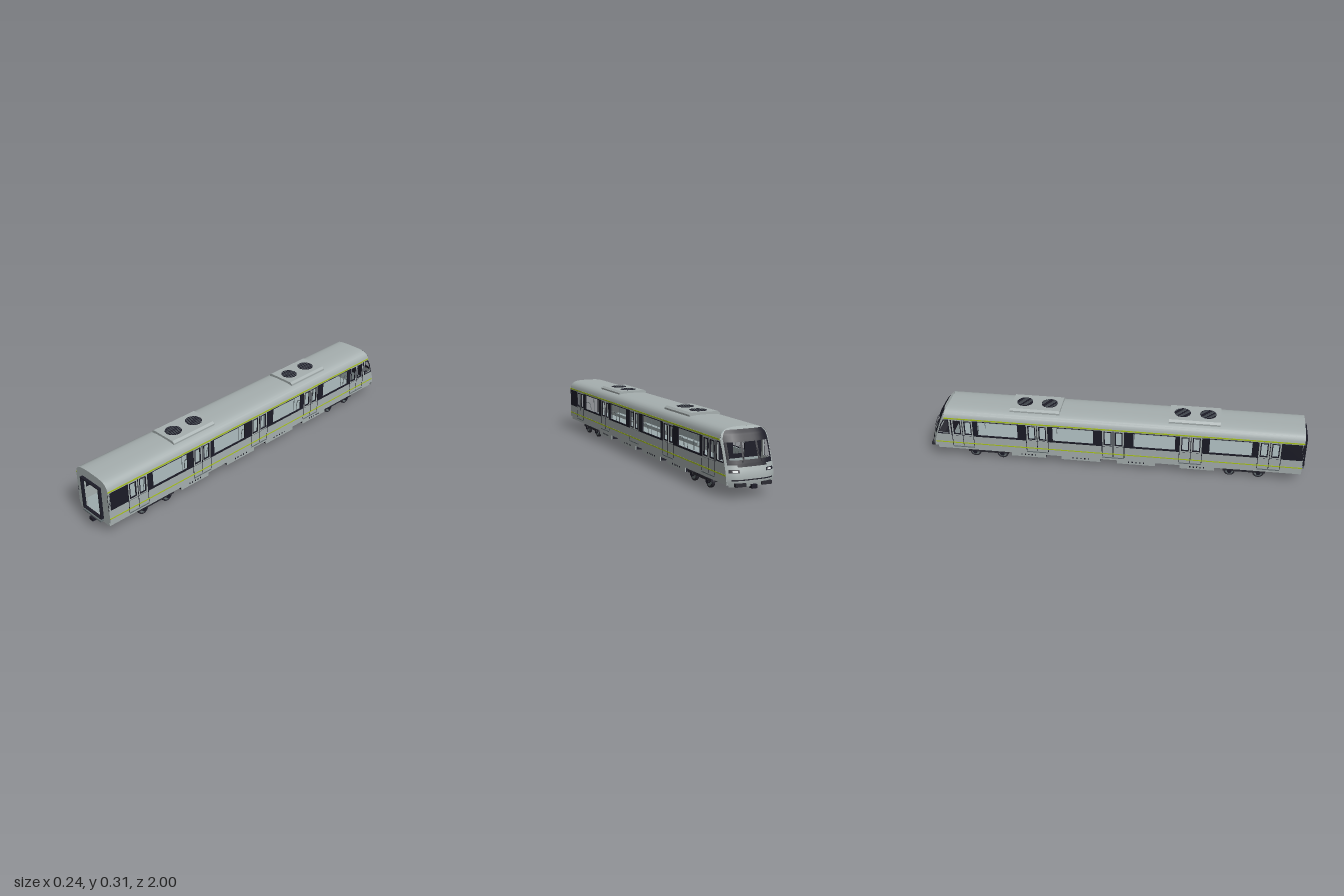
import * as THREE from 'three';

const mat = (name, color) => {
  const m = new THREE.MeshStandardMaterial({ color, side: THREE.DoubleSide });
  m.name = name;
  return m;
};
const body = mat('body grey', 0xa6afaf), dark = mat('dark trim', 0x1c1c27), green = mat('green stripe', 0xa9c41c);
const inner = mat('interior grey', 0x9dabad), metal = mat('metal', 0x667073), under = mat('underframe', 0x2a2a32);
const lamp = mat('lamp white', 0xe4e8e8);

// Piecewise linear lookup through [input, output] pairs
const lerpTable = (table, v) => {
  if (v <= table[0][0]) return table[0][1];
  for (let i = 1; i < table.length; i++) {
    const [a, b] = table[i - 1], [c, d] = table[i];
    if (v <= c) return b + (d - b) * (v - a) / (c - a);
  }
  return table[table.length - 1][1];
};
const noseZ = [[0.05, -0.985], [0.08, -0.992], [0.11, -0.988], [0.15, -0.975], [0.2, -0.957], [0.24, -0.941], [0.27, -0.925], [0.288, -0.908], [0.298, -0.888]];
const halfTable = [[0.05, 0.108], [0.08, 0.12], [0.25, 0.12], [0.262, 0.117], [0.273, 0.112], [0.283, 0.103], [0.29, 0.09], [0.294, 0.075], [0.297, 0.05], [0.298, 0.02]];
const half = y => lerpTable(halfTable, y);
const frontZ = (x, y) => lerpTable(noseZ, y) + 0.03 * (Math.abs(x) / 0.12) ** 4;

// Surface from a rule over a grid
function surface(nu, nv, fn) {
  const pos = [], idx = [];
  for (let j = 0; j <= nv; j++) for (let i = 0; i <= nu; i++) pos.push(...fn(i / nu, j / nv));
  for (let j = 0; j < nv; j++) for (let i = 0; i < nu; i++) {
    const a = j * (nu + 1) + i, b = a + nu + 1;
    idx.push(a, b, a + 1, a + 1, b, b + 1);
  }
  const g = new THREE.BufferGeometry();
  g.setAttribute('position', new THREE.Float32BufferAttribute(pos, 3));
  g.setIndex(idx);
  g.computeVertexNormals();
  return g;
}

const rectPath = (Type, x0, x1, y0, y1) => {
  const s = new Type();
  s.moveTo(x0, y0); s.lineTo(x1, y0); s.lineTo(x1, y1); s.lineTo(x0, y1); s.closePath();
  return s;
};
const plate = (x0, x1, y0, y1, holes = []) => {
  const s = rectPath(THREE.Shape, x0, x1, y0, y1);
  holes.forEach(h => s.holes.push(rectPath(THREE.Path, ...h)));
  return s;
};
const extrude = (shape, depth) => new THREE.ExtrudeGeometry(shape, { depth, bevelEnabled: false });

export function createModel() {
  const root = new THREE.Group();
  const add = (name, geo, m, x = 0, y = 0, z = 0, parent = root) => {
    const mesh = new THREE.Mesh(geo, m);
    mesh.name = name;
    mesh.position.set(x, y, z);
    parent.add(mesh);
    return mesh;
  };
  const box = (name, m, x0, x1, y0, y1, z0, z1) =>
    add(name, new THREE.BoxGeometry(x1 - x0, y1 - y0, z1 - z0), m, (x0 + x1) / 2, (y0 + y1) / 2, (z0 + z1) / 2);
  const rod = (name, m, r, len, x, y, z, axis = 'y', sides = 8) => {
    const g = new THREE.CylinderGeometry(r, r, len, sides);
    if (axis === 'x') g.rotateZ(Math.PI / 2);
    if (axis === 'z') g.rotateX(Math.PI / 2);
    return add(name, g, m, x, y, z);
  };

  const END = 0.975;
  const doors = [0.805, 0.403, 0, -0.403, -0.805];
  const windows = [0.607, 0.214, -0.212, -0.615];
  const D = 0.058;

  // Wall panel drawn in (z, y), standing on side s
  const wall = (name, shape, m, s, out = 0.12, depth = 0.006) => {
    const mesh = add(name, extrude(shape, depth), m, s > 0 ? out : -out + depth);
    mesh.rotation.y = -Math.PI / 2;
  };
  // Wall strip whose cab end follows the nose
  const cabStrip = (z0, y0, y1) => {
    const s = new THREE.Shape();
    s.moveTo(z0, y0);
    s.lineTo(z0, y1);
    for (let i = 0; i <= 5; i++) {
      const y = y1 + (y0 - y1) * i / 5;
      s.lineTo(frontZ(0.12, y), y);
    }
    s.closePath();
    return s;
  };
  // Slanted cab side window outline
  const cabWindow = (Type, e) => {
    const s = new Type();
    s.moveTo(-0.882 + e, 0.157 - e); s.lineTo(-0.936 - e, 0.157 - e);
    s.lineTo(-0.917 - e, 0.21); s.lineTo(-0.899 - e, 0.236 + e); s.lineTo(-0.882 + e, 0.236 + e);
    s.closePath();
    return s;
  };

  for (const s of [1, -1]) {
    wall('lowerWall', cabStrip(END, 0.075, 0.145), body, s);
    wall('upperWall', cabStrip(END, 0.241, 0.25), body, s);
    const holes = [
      ...windows.map(z => [z - 0.108, z + 0.108, 0.153, 0.237]),
      ...doors.map(z => [z - D, z + D, 0.1451, 0.2409])
    ];
    wall('windowBand', plate(-0.868, END, 0.145, 0.241, holes), dark, s);
    // Cab side with framed window
    const cab = cabStrip(-0.868, 0.145, 0.241);
    cab.holes.push(cabWindow(THREE.Path, 0));
    wall('cabSide', cab, body, s);
    const trim = cabWindow(THREE.Shape, 0.005);
    trim.holes.push(cabWindow(THREE.Path, 0));
    wall('cabWindowFrame', trim, dark, s, 0.1215, 0.003);
    // Sliding doors: two leaves with dark framed windows
    for (const z of doors) for (const k of [-1, 1]) {
      const c = z + k * D / 2;
      wall('doorLeaf', plate(c - 0.028, c + 0.028, 0.145, 0.241, [[c - 0.02, c + 0.02, 0.152, 0.236]]), body, s, 0.1185, 0.004);
      wall('doorWindowFrame', plate(c - 0.02, c + 0.02, 0.152, 0.236, [[c - 0.015, c + 0.015, 0.157, 0.231]]), dark, s, 0.1192, 0.005);
    }
    const thin = (name, m, y0, y1, z0, z1, out) => box(name, m, s > 0 ? 0.1195 : -out, s > 0 ? out : -0.1195, y0, y1, z0, z1);
    for (const z of doors) {
      for (const dz of [-D, 0, D]) thin('doorGap', dark, 0.082, 0.241, z + dz - 0.0015, z + dz + 0.0015, 0.1207);
      thin('doorSill', metal, 0.074, 0.079, z - D, z + D, 0.122);
    }
    thin('upperStripe', green, 0.245, 0.252, -0.9, END, 0.1212);
    thin('lowerStripe', green, 0.097, 0.103, -0.955, END, 0.1212);
    // Benches, poles and hand rails
    for (const z of windows) {
      box('bench', inner, s > 0 ? 0.08 : -0.113, s > 0 ? 0.113 : -0.08, 0.1, 0.114, z - 0.12, z + 0.12);
      box('benchBack', inner, s > 0 ? 0.106 : -0.113, s > 0 ? 0.113 : -0.106, 0.114, 0.15, z - 0.12, z + 0.12);
      for (const dz of [-0.122, 0.122]) {
        const c = new THREE.CatmullRomCurve3([[0.11, 0.19], [0.09, 0.188], [0.08, 0.16], [0.078, 0.1]].map(p => new THREE.Vector3(s * p[0], p[1], z + dz)));
        add('benchEndRail', new THREE.TubeGeometry(c, 10, 0.0018, 5), metal);
        rod('pole', metal, 0.0016, 0.18, s * 0.06, 0.17, z + dz, 'y', 6);
      }
      for (let i = -2; i <= 2; i++) rod('strapHandle', metal, 0.0014, 0.022, s * 0.06, 0.224, z + i * 0.04, 'y', 5);
    }
    rod('handRail', metal, 0.0016, 1.7, s * 0.06, 0.236, 0.05, 'z', 6);
  }

  // Roof shell, ending on the nose curve
  const rim = halfTable.slice(2).map(([y, x]) => [x, y]);
  const section = [...rim, ...rim.slice().reverse().map(([x, y]) => [-x, y])];
  add('roof', surface(section.length - 1, 1, (u, v) => {
    const [x, y] = section[Math.round(u * (section.length - 1))];
    return [x, y, v ? END : frontZ(x, y)];
  }), body);
  box('ceiling', inner, -0.112, 0.112, 0.262, 0.266, -0.87, 0.965);
  box('floor', inner, -0.114, 0.114, 0.076, 0.081, -0.95, 0.97);
  box('skirt', body, -0.112, 0.112, 0.056, 0.076, -0.95, END);

  // Open end wall with gangway
  const endShape = new THREE.Shape();
  endShape.moveTo(-0.12, 0.076);
  endShape.lineTo(0.12, 0.076);
  section.forEach(([x, y]) => endShape.lineTo(x, y));
  endShape.closePath();
  endShape.holes.push(rectPath(THREE.Path, -0.066, 0.066, 0.081, 0.248));
  add('endWall', extrude(endShape, 0.01), body, 0, 0, END - 0.01);
  add('gangwayFrame', extrude(plate(-0.07, 0.07, 0.079, 0.252, [[-0.065, 0.065, 0.083, 0.247]]), 0.016), dark, 0, 0, END);
  box('gangwayStep', metal, -0.068, 0.068, 0.064, 0.072, END, 0.993);

  // Cab partition
  add('cabPartition', extrude(plate(-0.113, 0.113, 0.15, 0.262, [[-0.03, 0.03, 0.17, 0.238]]), 0.005), dark, 0, 0, -0.865);
  box('partitionBase', inner, -0.113, 0.113, 0.081, 0.15, -0.865, -0.86);
  box('driverDesk', under, -0.1, 0.1, 0.081, 0.14, -0.95, -0.915);

  // Cab front, split into patches; t runs across the width from -1 to 1
  const patch = (name, m, t0, t1, y0, y1, off = 0) => add(name, surface(12, 8, (u, v) => {
    const y = y0 + (y1 - y0) * v, x = (t0 + (t1 - t0) * u) * half(y);
    return [x, y, frontZ(x, y) - off];
  }), m);
  patch('noseLower', body, -1, 1, 0.05, 0.145);
  patch('noseBrow', body, -1, 1, 0.288, 0.298);
  patch('windscreenHeader', dark, -0.93, 0.93, 0.238, 0.288);
  patch('windscreenSill', dark, -0.93, 0.93, 0.145, 0.165);
  for (const s of [-1, 1]) {
    patch('noseSide', body, s * 0.93, s, 0.145, 0.288);
    patch('windscreenPost', dark, s * 0.84, s * 0.93, 0.165, 0.238);
    patch('windscreenPillar', dark, s * 0.28, s * 0.36, 0.165, 0.238);
    patch('headlightSurround', dark, s * 0.55, s * 0.92, 0.112, 0.126, 0.001);
    patch('headlight', lamp, s * 0.62, s * 0.8, 0.115, 0.123, 0.002);
    const wiper = rod('wiper', under, 0.0015, 0.06, s * 0.04, 0.18, -0.97, 'y', 5);
    wiper.rotation.set(0.32, 0, s * 0.3);
    box('buffer', under, s * 0.065 - 0.025, s * 0.065 + 0.025, 0.053, 0.068, -0.996, -0.96);
  }
  patch('windscreenDip', dark, -0.6, 0.6, 0.136, 0.146, 0.0008);
  patch('noseGrille', dark, -0.85, 0.85, 0.079, 0.084, 0.001);

  // Couplers
  for (const s of [1, -1]) {
    box('couplerBar', under, -0.008, 0.008, 0.045, 0.056, Math.min(s * 0.9, s * 0.985), Math.max(s * 0.9, s * 0.985));
    box('couplerHead', dark, -0.013, 0.013, 0.042, 0.06, Math.min(s * 0.975, s), Math.max(s * 0.975, s));
  }

  // Roof air units, each with two slatted fans
  for (const zc of [0.415, -0.418]) {
    const s = new THREE.Shape();
    [[-0.082, 0.285], [0.082, 0.285], [0.082, 0.301], [0.07, 0.31], [-0.07, 0.31], [-0.082, 0.301]].forEach((p, i) => i ? s.lineTo(...p) : s.moveTo(...p));
    s.closePath();
    add('airUnit', extrude(s, 0.264), body, 0, 0, zc - 0.132);
    for (const dz of [-0.066, 0.066]) {
      rod('fan', dark, 0.043, 0.002, 0, 0.3105, zc + dz, 'y', 12);
      for (let i = -3; i <= 3; i++) {
        const l = Math.sqrt(0.04 ** 2 - (i * 0.011) ** 2);
        box('fanSlat', metal, i * 0.011 - 0.001, i * 0.011 + 0.001, 0.311, 0.3122, zc + dz - l, zc + dz + l);
      }
    }
  }

  // Underfloor equipment boxes with louvred side panels
  for (const [z0, z1] of [[0.35, 0.53], [0.02, 0.22], [-0.28, -0.07], [-0.55, -0.365]]) {
    box('equipmentBox', dark, -0.098, 0.098, 0.03, 0.057, z0, z1);
    for (const s of [-1, 1]) {
      box('equipmentPanel', body, s * 0.1 - 0.003, s * 0.1 + 0.003, 0.03, 0.057, z0, z1);
      for (let i = 0; i < 5; i++) {
        const z = z0 + (z1 - z0) * (0.3 + i * 0.1);
        box('louvre', dark, s * 0.103 - 0.001, s * 0.103 + 0.001, 0.04, 0.048, z - 0.003, z + 0.003);
      }
    }
  }

  // Bogies
  for (const zc of [0.685, -0.68]) {
    box('bogieBolster', under, -0.075, 0.075, 0.028, 0.055, zc - 0.03, zc + 0.03);
    for (const s of [-1, 1]) {
      box('bogieSideFrame', under, s * 0.092 - 0.006, s * 0.092 + 0.006, 0.034, 0.047, zc - 0.11, zc + 0.11);
      rod('airSpring', dark, 0.02, 0.012, s * 0.085, 0.052, zc, 'y', 16);
    }
    for (const dz of [-0.075, 0.075]) {
      rod('axle', under, 0.008, 0.16, 0, 0.03, zc + dz, 'x', 10);
      for (const s of [-1, 1]) {
        rod('wheel', under, 0.03, 0.011, s * 0.081, 0.03, zc + dz, 'x', 24);
        rod('wheelFlange', under, 0.033, 0.003, s * 0.075, 0.033, zc + dz, 'x', 24);
        rod('wheelDisc', metal, 0.022, 0.002, s * 0.087, 0.03, zc + dz, 'x', 20);
        rod('axleBox', dark, 0.012, 0.012, s * 0.093, 0.032, zc + dz, 'x', 12);
      }
    }
  }
  return root;
}
